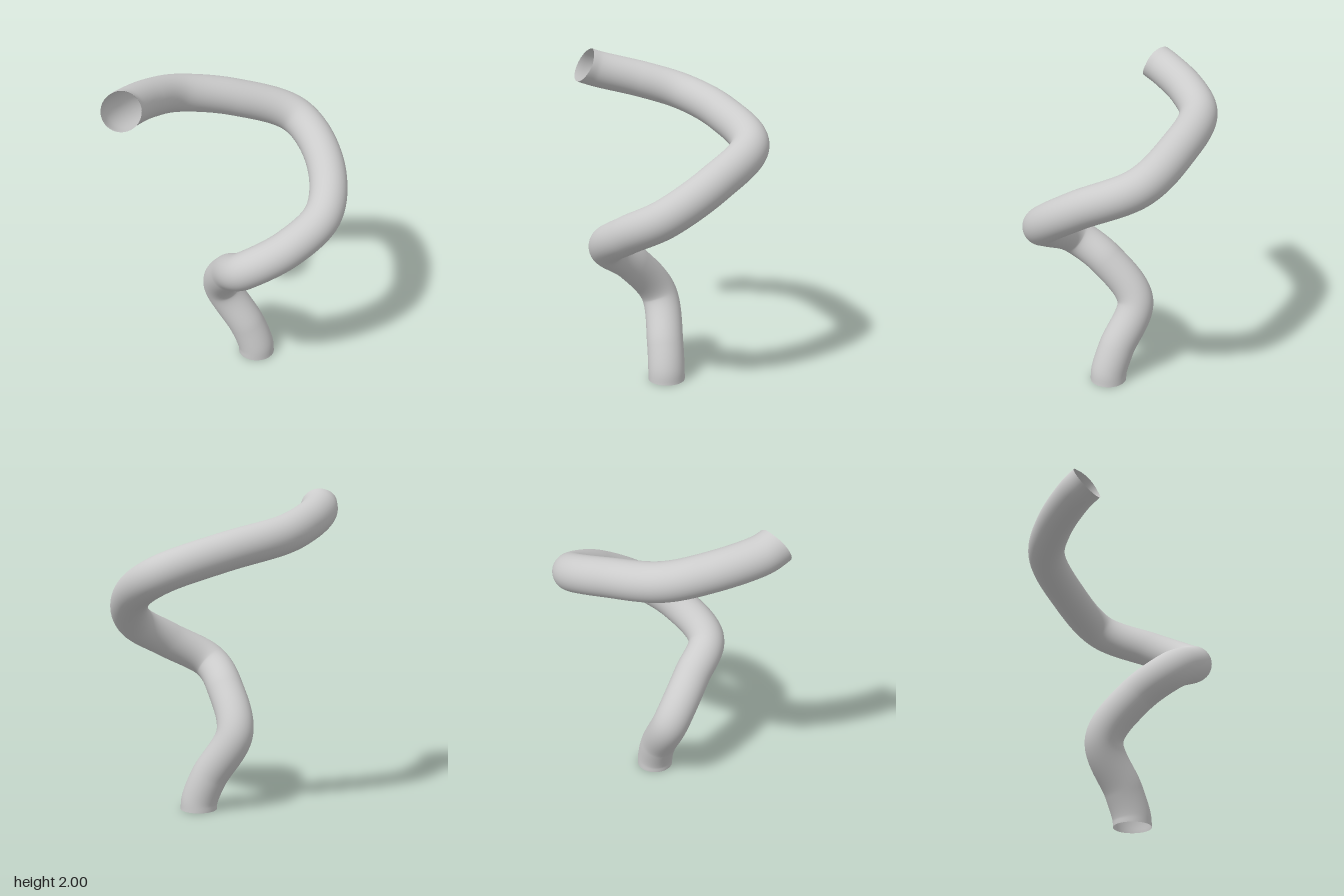
import * as THREE from 'three';

export function createModel() {
  const group = new THREE.Group();
  group.name = 'spiralTube';

  // Centre line: rises from the ground in a widening coil
  const path = new THREE.CatmullRomCurve3([
    [0.093, 0, -0.038],
    [0.088, 0.06, -0.036],
    [0.03, 0.21, -0.02],
    [-0.12, 0.49, 0.04],
    [0.02, 0.735, 0.19],
    [0.2, 0.885, 0.31],
    [0.415, 1.03, 0.155],
    [0.515, 1.17, -0.09],
    [0.38, 1.355, -0.36],
    [0.08, 1.515, -0.535],
    [-0.24, 1.645, -0.34],
    [-0.48, 1.735, -0.06],
    [-0.52, 1.8, 0.2],
    [-0.485, 1.865, 0.48],
    [-0.448, 1.896, 0.567],
  ].map((p) => new THREE.Vector3(...p)));

  // Hollow tube, open at both ends
  const tube = new THREE.Mesh(
    new THREE.TubeGeometry(path, 240, 0.115, 40, false),
    new THREE.MeshStandardMaterial({ color: 0xcccccc, side: THREE.DoubleSide })
  );
  tube.name = 'tube';

  // Square the end rings: the foot lies flat, the tip leans up and inward
  const pos = tube.geometry.attributes.position;
  const ring = 41;
  const squareEnd = (first, centre, normal, along) => {
    for (let i = first; i < first + ring; i++) {
      const v = new THREE.Vector3().fromBufferAttribute(pos, i).sub(centre);
      const turn = new THREE.Quaternion().setFromUnitVectors(along, normal);
      v.applyQuaternion(turn).add(centre);
      pos.setXYZ(i, v.x, v.y, v.z);
    }
  };
  squareEnd(0, path.getPoint(0), new THREE.Vector3(0, 1, 0), path.getTangent(0));
  squareEnd(240 * ring, path.getPoint(1),
    new THREE.Vector3(0.48, 0.48, 0.73).normalize(), path.getTangent(1));

  group.add(tube);
  return group;
}
